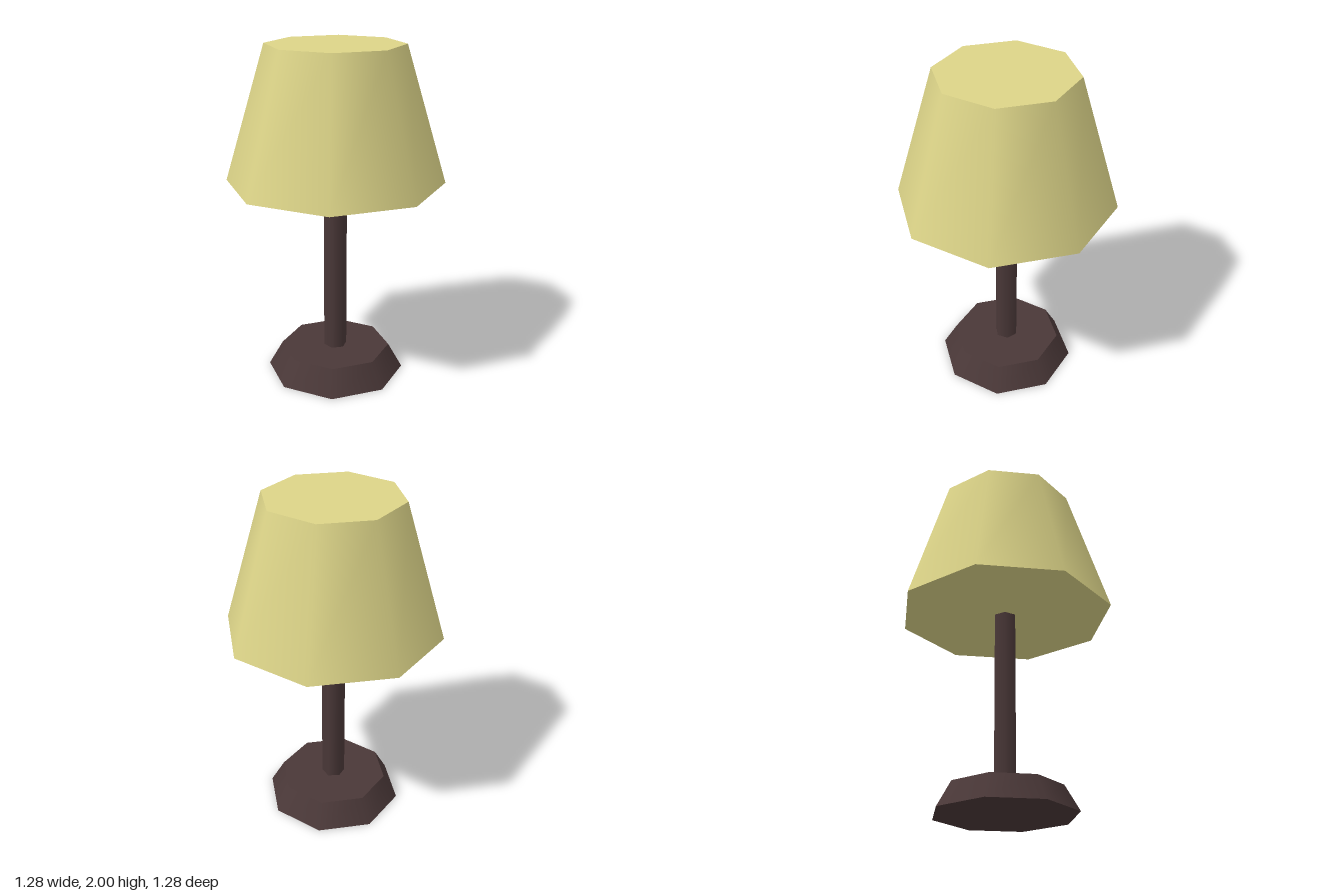
import * as THREE from 'three';

export function createModel() {
  const lamp = new THREE.Group();
  lamp.name = 'tableLamp';

  const darkWood = new THREE.MeshStandardMaterial({ color: 0x4a3838 });
  darkWood.name = 'darkWood';
  const creamFabric = new THREE.MeshStandardMaterial({ color: 0xdcd488 });
  creamFabric.name = 'creamFabric';

  // Closed tapered prism standing between two heights, a corner on the x axis
  function addPart(name, material, topRadius, bottomRadius, y0, y1, sides) {
    const geometry = new THREE.CylinderGeometry(topRadius, bottomRadius, y1 - y0, sides);
    geometry.rotateY(Math.PI / 2);
    geometry.translate(0, (y0 + y1) / 2, 0);
    const mesh = new THREE.Mesh(geometry, material);
    mesh.name = name;
    lamp.add(mesh);
  }

  addPart('base', darkWood, 0.33, 0.415, 0, 0.15, 8);
  addPart('pole', darkWood, 0.07, 0.07, 0.15, 1.21, 6);
  addPart('shade', creamFabric, 0.4, 0.64, 1.205, 2, 8);

  return lamp;
}
